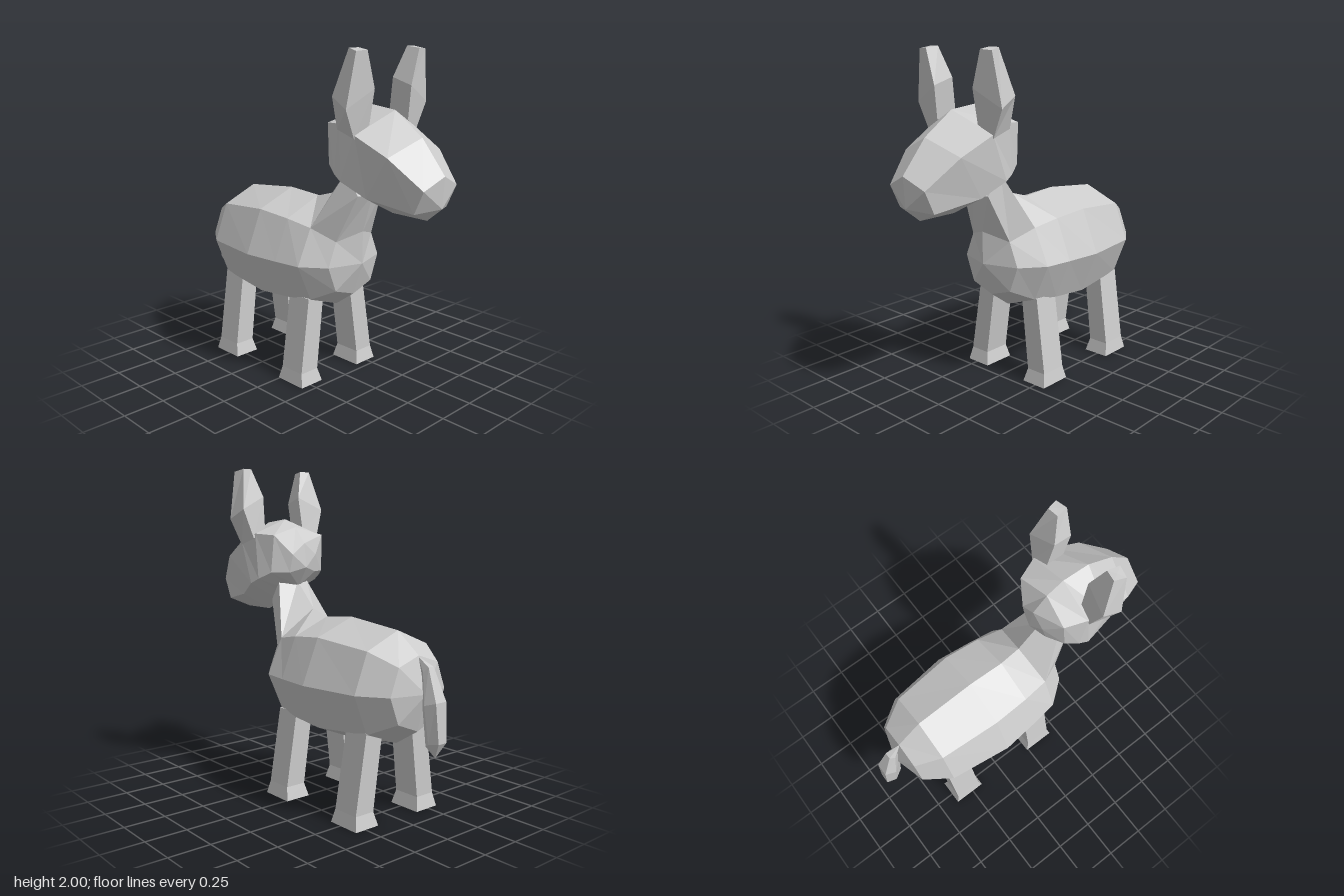
import * as THREE from 'three';

const material = new THREE.MeshStandardMaterial({ color: 0xcccccc, flatShading: true });

// Skin a list of point rings; both ends close to a centre point (a one-point ring is a pole)
function loft(name, rings) {
  const n = Math.max(...rings.map((r) => r.length));
  const centre = (r) => [0, 1, 2].map((k) => r.reduce((s, p) => s + p[k], 0) / r.length);
  const all = [[centre(rings[0])], ...rings, [centre(rings[rings.length - 1])]];
  const pos = [];
  const at = (r, j) => (r.length === 1 ? r[0] : r[j % n]);
  for (let i = 0; i < all.length - 1; i++) {
    const [r, s] = [all[i], all[i + 1]];
    for (let j = 0; j < n; j++) {
      const a = at(r, j), b = at(r, j + 1), c = at(s, j), d = at(s, j + 1);
      if (a !== b) pos.push(...a, ...b, ...d);
      if (c !== d) pos.push(...a, ...d, ...c);
    }
  }
  const g = new THREE.BufferGeometry();
  g.setAttribute('position', new THREE.Float32BufferAttribute(pos, 3));
  g.computeVertexNormals();
  const mesh = new THREE.Mesh(g, material);
  mesh.name = name;
  return mesh;
}

// Complete a half ring (z >= 0) by mirroring it across z = 0
const flip = ([x, y, z]) => [x, y, -z];
const full = (half) => [...half, ...half.filter((p) => p[2] > 0).reverse().map(flip)];
// Mirror whole rings to the other side, keeping faces outward
const mirrored = (rings) => rings.map((r) => r.map(flip).reverse());

export function createModel() {
  const model = new THREE.Group();

  // Barrel body: x, top, upper y/z, side z, lower y/z, bottom
  const stations = [
    [-0.77, 0.96, 0.91, 0.15, 0.21, 0.60, 0.15, 0.54],
    [-0.61, 1.08, 0.985, 0.23, 0.32, 0.525, 0.23, 0.44],
    [-0.23, 1.12, 1.02, 0.26, 0.37, 0.495, 0.26, 0.39],
    [0.0, 1.10, 1.0, 0.245, 0.345, 0.51, 0.245, 0.42],
    [0.17, 1.14, 0.97, 0.22, 0.32, 0.53, 0.22, 0.45],
    [0.31, 0.95, 0.9, 0.15, 0.21, 0.60, 0.15, 0.55],
  ];
  const bodyRings = stations.map(([x, top, uy, uz, sz, ly, lz, bottom]) => full([
    [x, top, 0], [x, uy, uz], [x, 0.755, sz], [x, ly, lz], [x, bottom, 0],
  ]));
  bodyRings[4][0] = [0.13, 1.14, 0];
  bodyRings[5][0] = [0.38, 0.95, 0];
  model.add(loft('body', [[[-0.83, 0.755, 0]], ...bodyRings, [[0.38, 0.755, 0]]]));

  // Neck rising from the shoulders into the head
  model.add(loft('neck', [
    full([[0.13, 1.14, 0], [0.17, 0.97, 0.22], [0.31, 0.9, 0.15], [0.38, 0.95, 0]]),
    full([[0.29, 1.3, 0], [0.34, 1.3, 0.11], [0.43, 1.18, 0.1], [0.45, 1.18, 0]]),
  ]));

  // Head, from the back of the skull to the muzzle
  model.add(loft('head', [
    [[0.2, 1.39, 0]],
    full([[0.22, 1.54, 0], [0.22, 1.47, 0.09], [0.24, 1.36, 0.1], [0.28, 1.27, 0]]),
    full([[0.31, 1.64, 0], [0.28, 1.59, 0.19], [0.3, 1.36, 0.2], [0.34, 1.235, 0]]),
    full([[0.42, 1.69, 0], [0.41, 1.6, 0.24], [0.38, 1.32, 0.24], [0.41, 1.2, 0]]),
    full([[0.6, 1.67, 0], [0.54, 1.55, 0.255], [0.44, 1.29, 0.255], [0.47, 1.16, 0]]),
    full([[0.79, 1.54, 0], [0.74, 1.45, 0.22], [0.59, 1.21, 0.21], [0.6, 1.1, 0]]),
    full([[0.945, 1.355, 0], [0.92, 1.29, 0.14], [0.86, 1.16, 0.14], [0.84, 1.1, 0]]),
    [[0.935, 1.18, 0]],
  ]));

  // Ears: four-sided, widest near the middle
  const ear = [
    [[0.41, 1.57, 0.25], [0.54, 1.53, 0.255], [0.56, 1.6, 0.16], [0.43, 1.62, 0.15]],
    [[0.43, 1.75, 0.31], [0.55, 1.69, 0.33], [0.585, 1.79, 0.15], [0.46, 1.83, 0.14]],
    [[0.5, 2.0, 0.26], [0.57, 1.985, 0.28], [0.585, 1.99, 0.21], [0.51, 2.0, 0.195]],
  ];
  model.add(loft('rightEar', ear), loft('leftEar', mirrored(ear)));

  // Legs splay outward and flare at the hooves: y, x range, inner and outer z
  const legRings = (x0) => [
    [0, -0.015, 0.195, 0.155, 0.32],
    [0.08, 0.005, 0.175, 0.175, 0.305],
    [0.535, 0, 0.165, 0.115, 0.235],
  ].map(([y, a, b, zi, zo]) => [
    [x0 + a, y, zo], [x0 + b, y, zo], [x0 + b, y, zi], [x0 + a, y, zi],
  ]);
  for (const [name, x0] of [['FrontLeg', 0.005], ['HindLeg', -0.615]]) {
    model.add(loft('right' + name, legRings(x0)), loft('left' + name, mirrored(legRings(x0))));
  }

  // Tail hanging behind: inner ridge, widest sides, flatter outer face
  model.add(loft('tail', [
    [[-0.765, 0.955, 0]],
    full([[-0.79, 0.86, 0], [-0.83, 0.88, 0.03], [-0.86, 0.91, 0.02]]),
    full([[-0.80, 0.7, 0], [-0.87, 0.71, 0.06], [-0.935, 0.73, 0.04]]),
    full([[-0.83, 0.47, 0], [-0.89, 0.5, 0.045], [-0.95, 0.51, 0.03]]),
    [[-0.9, 0.42, 0]],
  ]));

  return model;
}
